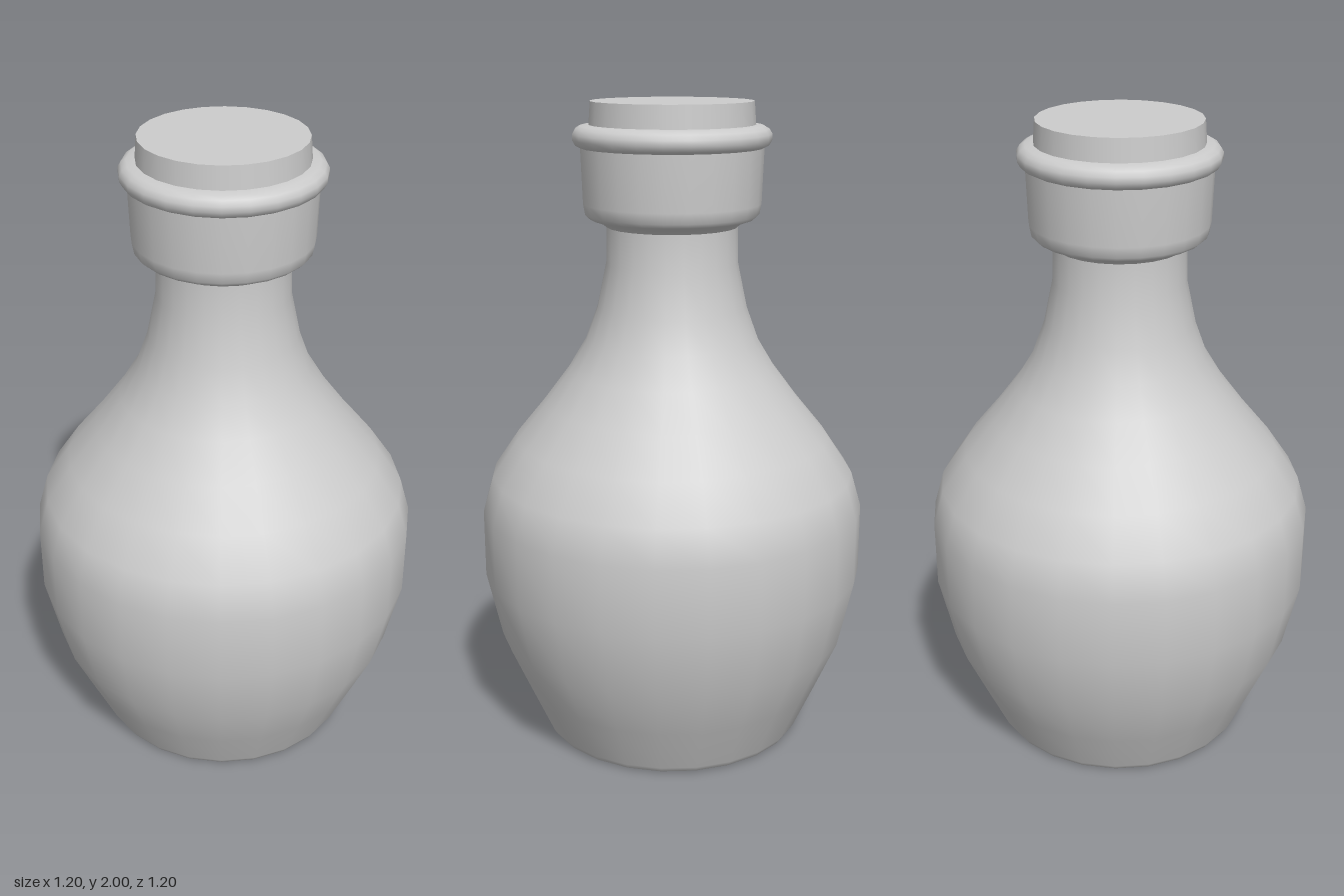
import * as THREE from 'three';

const SIDES = 24;

export function createModel() {
  const group = new THREE.Group();
  const grey = new THREE.MeshStandardMaterial({ color: 0xcccccc });
  grey.name = 'grey';

  // Revolves a profile of [radius, height] points, listed from bottom to top
  const turn = (name, profile) => {
    const points = profile.map(([r, y]) => new THREE.Vector2(r, y));
    const mesh = new THREE.Mesh(new THREE.LatheGeometry(points, SIDES), grey);
    mesh.name = name;
    group.add(mesh);
  };

  // Flat recessed floor under the bottle
  turn('baseRecess', [[0, 0.03], [0.3, 0.03]]);

  // Rounded foot, belly, shoulder and neck
  turn('body', [
    [0.3, 0.03], [0.345, 0.012], [0.37, 0.002], [0.395, 0.002], [0.407, 0.008], [0.418, 0.025],
    [0.485, 0.175], [0.553, 0.33], [0.6, 0.54], [0.6, 0.75], [0.568, 0.86],
    [0.49, 0.975], [0.4, 1.085], [0.322, 1.19], [0.268, 1.28], [0.23, 1.385],
    [0.202, 1.52], [0.2, 1.63],
  ]);

  // Collar around the mouth
  turn('collar', [
    [0.2, 1.63], [0.215, 1.643], [0.25, 1.655], [0.264, 1.668], [0.27, 1.7], [0.276, 1.865],
  ]);

  // Rolled lip
  turn('lip', [
    [0.276, 1.865], [0.29, 1.872], [0.299, 1.888], [0.299, 1.905],
    [0.29, 1.92], [0.275, 1.929], [0.25, 1.932],
  ]);

  // Slightly tapered stopper with a flat top
  turn('stopperSide', [[0.25, 1.932], [0.245, 2]]);
  turn('stopperTop', [[0.245, 2], [0, 2]]);

  return group;
}
